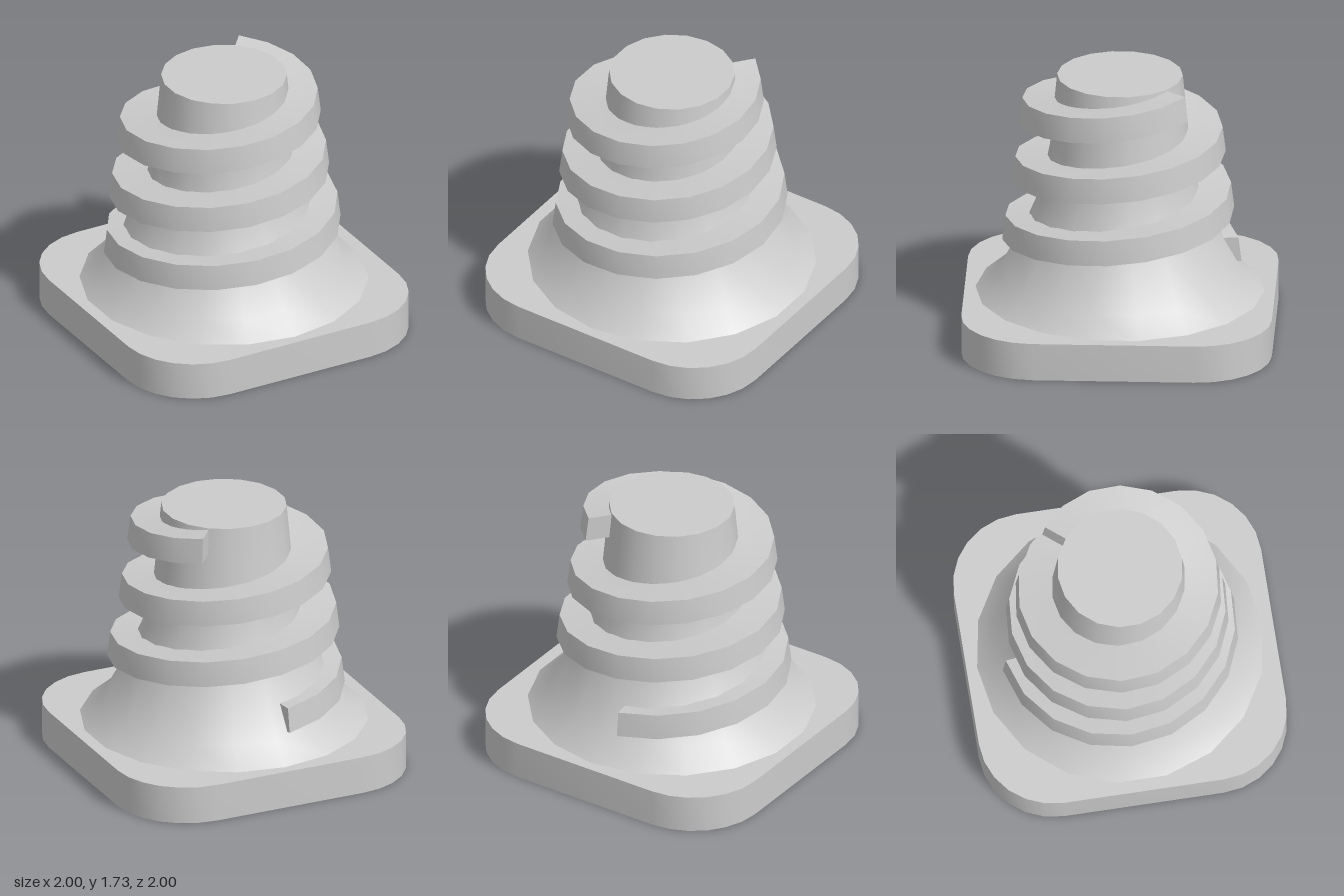
import * as THREE from 'three';
import { toCreasedNormals } from 'three/addons/utils/BufferGeometryUtils.js';

const material = new THREE.MeshStandardMaterial({ color: 0xcccccc });

function addPart(group, name, geometry) {
  const mesh = new THREE.Mesh(toCreasedNormals(geometry, 0.62), material);
  mesh.name = name;
  group.add(mesh);
}

// Square plate with corners rounded in three facets
function basePlate() {
  const shape = new THREE.Shape();
  for (let i = 0; i < 4; i++) {
    const a = (i * Math.PI) / 2;
    const cx = 0.52 * (i === 0 || i === 3 ? 1 : -1);
    const cy = 0.52 * (i < 2 ? 1 : -1);
    shape.absarc(cx, cy, 0.48, a, a + Math.PI / 2, false);
  }
  shape.closePath();
  const geometry = new THREE.ExtrudeGeometry(shape, { depth: 0.25, bevelEnabled: false, curveSegments: 3 });
  return geometry.rotateX(-Math.PI / 2);
}

// Flared core with a flat top
function core() {
  const profile = [[0.93, 0.25], [0.79, 0.37], [0.62, 0.68], [0.51, 0.94], [0.45, 1.25], [0.405, 1.73], [0, 1.73]];
  return new THREE.LatheGeometry(profile.map(([r, y]) => new THREE.Vector2(r, y)), 18);
}

// Outer radius of the thread at each angle in degrees, measured from +z towards +x
const threadRadii = [
  [187.3, 0.785], [270, 0.775], [360, 0.76], [450, 0.75], [540, 0.735], [630, 0.745], [720, 0.695],
  [810, 0.67], [900, 0.68], [990, 0.695], [1080, 0.65], [1170, 0.61], [1220.7, 0.58],
];

function radiusAt(angle) {
  let i = 0;
  while (i < threadRadii.length - 2 && angle > threadRadii[i + 1][0]) i++;
  const [a0, r0] = threadRadii[i];
  const [a1, r1] = threadRadii[i + 1];
  return THREE.MathUtils.mapLinear(angle, a0, a1, r0, r1);
}

// Rising band: a four-cornered section swept along the helix, its inner side buried in the core
function thread() {
  const start = 187.3, end = 1220.7, steps = 52, height = 0.165, inner = 0.36;
  const positions = [];
  const indices = [];
  for (let i = 0; i <= steps; i++) {
    const angle = THREE.MathUtils.lerp(start, end, i / steps);
    const phi = THREE.MathUtils.degToRad(angle);
    const y = THREE.MathUtils.lerp(0.41, 1.555, i / steps);
    const r = radiusAt(angle);
    const section = [[inner, y], [r, y], [r - 0.02, y + height], [inner, y + height]];
    for (const [radius, h] of section) positions.push(radius * Math.sin(phi), h, radius * Math.cos(phi));
    if (i === steps) continue;
    for (let j = 0; j < 4; j++) {
      const a = i * 4 + j, b = i * 4 + ((j + 1) % 4);
      indices.push(a, a + 4, b, b, a + 4, b + 4);
    }
  }
  // End faces
  const e = steps * 4;
  indices.push(0, 1, 2, 0, 2, 3, e, e + 2, e + 1, e, e + 3, e + 2);
  const geometry = new THREE.BufferGeometry();
  geometry.setAttribute('position', new THREE.Float32BufferAttribute(positions, 3));
  geometry.setIndex(indices);
  return geometry;
}

export function createModel() {
  const group = new THREE.Group();
  group.name = 'threadedPost';
  addPart(group, 'basePlate', basePlate());
  addPart(group, 'core', core());
  addPart(group, 'thread', thread());
  return group;
}
